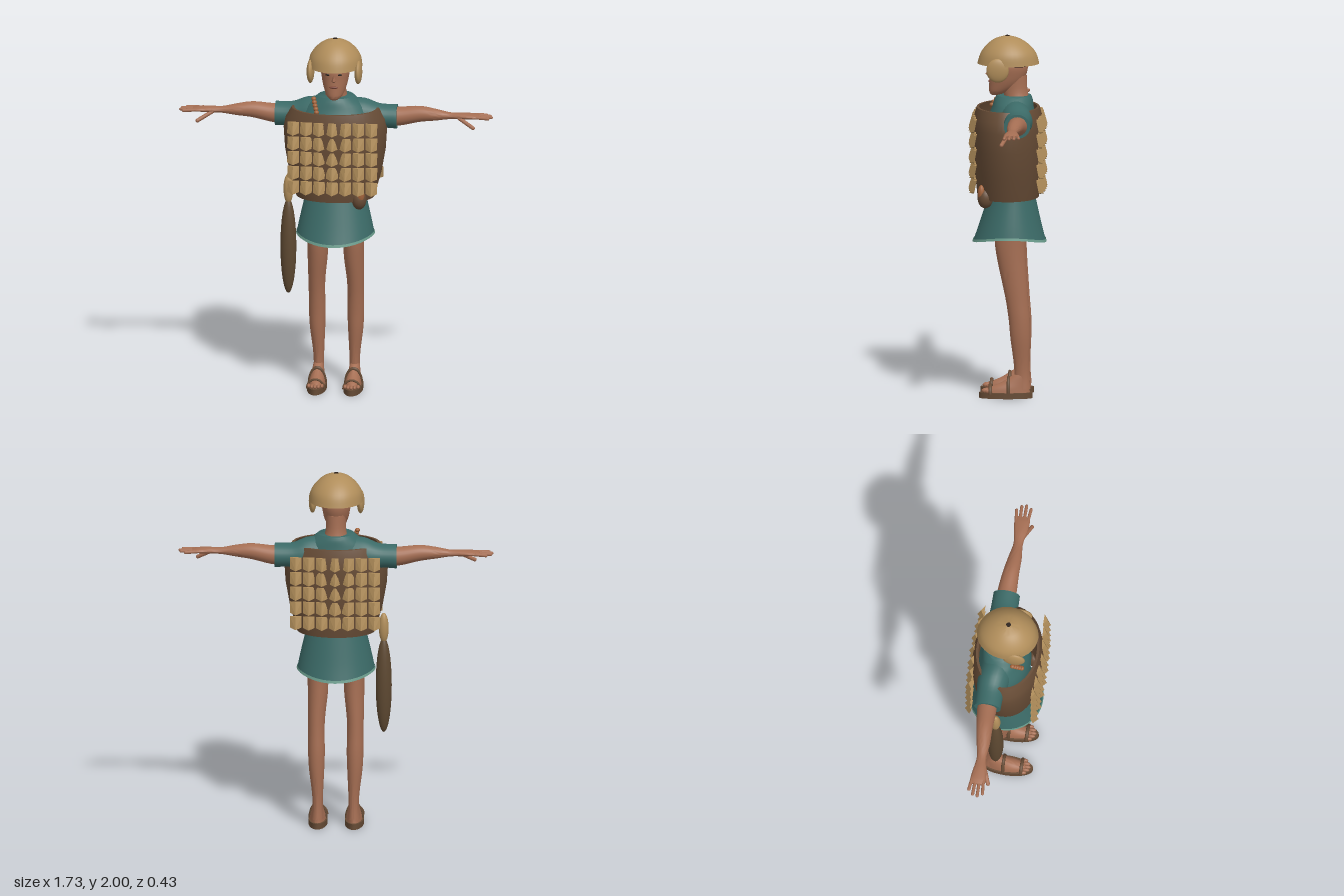
import * as THREE from 'three';
import { toCreasedNormals } from 'three/addons/utils/BufferGeometryUtils.js';
import { ConvexGeometry } from 'three/addons/geometries/ConvexGeometry.js';

const mat = (name, color) => {
  const m = new THREE.MeshStandardMaterial({ color, side: THREE.DoubleSide });
  m.name = name;
  return m;
};

export function createModel() {
  const skin = mat('skin', 0xa56e53), cloth = mat('teal cloth', 0x3b6a67), trim = mat('pale teal trim', 0x6a9c8c);
  const gold = mat('dull gold', 0xb08d5a), leather = mat('brown leather', 0x664b35), sheath = mat('dark leather', 0x5d4831);
  const hair = mat('dark hair', 0x2b2019), copper = mat('copper', 0xa0623a), lip = mat('lips', 0x7d4638);
  const root = new THREE.Group();
  root.name = 'soldier';

  const add = (name, geo, material, x = 0, y = 0, z = 0) => {
    const m = new THREE.Mesh(geo, material);
    m.name = name;
    m.position.set(x, y, z);
    root.add(m);
    return m;
  };
  const ball = (name, material, p, r) => add(name, new THREE.SphereGeometry(1, 24, 16), material, ...p).scale.set(...r);

  // Ellipse sections [y, cx, cz, rx, rz] joined upwards; k spline steps between sections
  function loft(sections, { k = 4, n = 28, caps = true, warp } = {}) {
    const rings = [];
    const last = sections.length - 1;
    for (let i = 0; i < last; i++) {
      const [a, b, c, d] = [-1, 0, 1, 2].map(o => sections[Math.min(last, Math.max(0, i + o))]);
      for (let s = 0; s < k; s++) {
        const t = s / k;
        rings.push(b.map((v, q) => v + 0.5 * t * (c[q] - a[q] + t * (2 * a[q] - 5 * v + 4 * c[q] - d[q]
          + t * (3 * (v - c[q]) + d[q] - a[q])))));
      }
    }
    rings.push(sections[last]);
    const pos = [], idx = [];
    for (const [y, cx, cz, rx, rz] of rings) for (let j = 0; j < n; j++) {
      const a = j / n * Math.PI * 2;
      pos.push(cx + rx * Math.sin(a), y + (warp ? warp(y, a) : 0), cz + rz * Math.cos(a));
    }
    const top = rings.length - 1;
    for (let i = 0; i < top; i++) for (let j = 0; j < n; j++) {
      const p = i * n + j, q = i * n + (j + 1) % n;
      idx.push(p, q, q + n, p, q + n, p + n);
    }
    if (caps) for (const i of [0, top]) {
      const c = pos.length / 3, [y, cx, cz] = rings[i];
      pos.push(cx, y, cz);
      for (let j = 0; j < n; j++) {
        const p = i * n + j, q = i * n + (j + 1) % n;
        idx.push(c, ...(i ? [p, q] : [q, p]));
      }
    }
    const g = new THREE.BufferGeometry();
    g.setAttribute('position', new THREE.Float32BufferAttribute(pos, 3));
    g.setIndex(idx);
    return toCreasedNormals(g, 0.8);
  }
  // Sections [x, cy, cz, ry, rz] running outwards along the arm on side s
  const sideLoft = (sections, s) =>
    loft(sections.map(([x, y, z, ry, rz]) => [x, -s * y, z, ry, rz])).rotateZ(-s * Math.PI / 2);
  // Rounded rod between two points
  function rod(name, material, a, b, r) {
    const p = new THREE.Vector3(...a), q = new THREE.Vector3(...b), d = q.clone().sub(p);
    const m = add(name, new THREE.CapsuleGeometry(r, d.length(), 5, 10), material);
    m.position.copy(p).add(q).multiplyScalar(0.5);
    m.quaternion.setFromUnitVectors(new THREE.Vector3(0, 1, 0), d.normalize());
  }
  const hull = pts => new ConvexGeometry(pts.map(p => new THREE.Vector3(...p)));

  // Head and neck
  add('neck', loft([[1.62, 0, -0.06, 0.075, 0.07], [1.69, 0, -0.045, 0.056, 0.066], [1.78, 0, -0.04, 0.056, 0.066]]), skin);
  add('head', loft([[1.67, 0, 0.068, 0.02, 0.022], [1.688, 0, 0.048, 0.043, 0.052], [1.73, 0, 0.015, 0.062, 0.085],
    [1.78, 0, -0.002, 0.074, 0.1], [1.84, 0, -0.008, 0.079, 0.104], [1.92, 0, -0.01, 0.055, 0.075]]), skin);
  ball('hair', hair, [0, 1.868, -0.027], [0.086, 0.077, 0.097]);
  add('nose', hull([[0, 1.828, 0.094], [-0.016, 1.778, 0.09], [0.016, 1.778, 0.09], [0, 1.784, 0.122], [0, 1.77, 0.098]]), skin);
  ball('mouth', lip, [0, 1.745, 0.098], [0.024, 0.007, 0.007]);
  for (const s of [-1, 1]) {
    ball('eye', hair, [s * 0.031, 1.815, 0.088], [0.015, 0.006, 0.006]);
    ball('eyebrow', hair, [s * 0.033, 1.832, 0.09], [0.02, 0.005, 0.006]);
    ball('cheekGuard', gold, [s * 0.132, 1.823, 0.05], [0.021, 0.066, 0.062]);
  }

  // Helmet bowl with a dark hole at the crown
  add('helmet', loft([[1.845, 0, -0.005, 0.148, 0.17], [1.9, 0, -0.005, 0.139, 0.153], [1.945, 0, -0.003, 0.109, 0.119],
    [1.98, 0, 0, 0.066, 0.07], [1.998, 0, 0, 0.013, 0.013]], { n: 36, caps: false }), gold);
  add('crownHole', new THREE.CylinderGeometry(0.013, 0.013, 0.006, 12), hair, 0, 1.997, 0);

  // Tunic body, skirt and hem
  add('tunicBody', loft([[1.1, 0, -0.025, 0.165, 0.125], [1.3, 0, -0.02, 0.19, 0.14], [1.5, 0, -0.02, 0.205, 0.14],
    [1.6, 0, -0.03, 0.17, 0.115], [1.645, 0, -0.034, 0.125, 0.105], [1.668, 0, -0.036, 0.098, 0.095]]), cloth);
  const hemRise = (y, a) => 0.035 * Math.sin(a) ** 2 * Math.max(0, (1.1 - y) / 0.24);
  add('tunicSkirt', loft([[0.858, 0, -0.012, 0.213, 0.2], [0.95, 0, -0.016, 0.197, 0.172], [1.12, 0, -0.025, 0.164, 0.125]],
    { n: 40, caps: false, warp: hemRise }), cloth);
  add('hemTrim', loft([[0.856, 0, -0.012, 0.217, 0.204], [0.871, 0, -0.012, 0.214, 0.2]],
    { n: 40, k: 1, caps: false, warp: hemRise }), trim);

  // Leather cuirass shell: inner foot, outer wall, then the inner wall back down
  const wall = [[1.105, 0.215, 0.168], [1.25, 0.255, 0.184], [1.38, 0.278, 0.191], [1.49, 0.285, 0.193],
    [1.55, 0.275, 0.188], [1.605, 0.24, 0.173]];
  const ring = ([y, rx, rz], t) => [y, 0, -0.004, rx - t, rz - t];
  add('cuirass', loft([ring(wall[0], 0.014), ...wall.map(w => ring(w, 0)), ...[...wall].reverse().map(w => ring(w, 0.014))],
    { k: 1, n: 44, caps: false }), leather);

  // Pointed scales in rows on the chest and back
  const scaleGeo = hull([[-0.032, 0.036, -0.012], [0.032, 0.036, -0.012], [0, 0.036, 0.008], [-0.032, -0.026, 0],
    [0.032, -0.026, 0], [0, -0.038, 0.004], [0, -0.034, 0.028]]);
  for (const s of [-1, 1]) for (let r = 0; r < 5; r++) for (let c = -3; c <= 3; c++) {
    const m = add(s > 0 ? 'chestScale' : 'backScale', scaleGeo, gold, c * 0.072, 1.527 - r * 0.084,
      s * (0.188 - 0.0013 * c * c) - 0.003);
    m.rotation.y = s > 0 ? 0 : Math.PI;
  }

  for (const s of [-1, 1]) {
    // Sleeve, arm and hand
    add('sleeve', sideLoft([[0.06, 1.53, -0.04, 0.125, 0.1], [0.16, 1.54, -0.055, 0.105, 0.09],
      [0.24, 1.547, -0.062, 0.068, 0.076], [0.335, 1.545, -0.064, 0.067, 0.073]], s), cloth);
    add('arm', sideLoft([[0.26, 1.545, -0.065, 0.055, 0.055], [0.35, 1.547, -0.065, 0.052, 0.053],
      [0.46, 1.564, -0.06, 0.044, 0.045], [0.55, 1.564, -0.052, 0.032, 0.037], [0.63, 1.562, -0.048, 0.018, 0.026],
      [0.7, 1.563, -0.046, 0.017, 0.036], [0.76, 1.563, -0.047, 0.013, 0.043], [0.79, 1.561, -0.047, 0.009, 0.038]], s), skin);
    for (const [z0, z1, x] of [[-0.08, -0.088, 0.825], [-0.06, -0.063, 0.85], [-0.038, -0.037, 0.856], [-0.017, -0.01, 0.84]])
      rod('finger', skin, [s * 0.76, 1.563, z0], [s * x, 1.56, z1], 0.009);
    rod('thumb', skin, [s * 0.68, 1.555, -0.025], [s * 0.76, 1.51, 0.008], 0.011);

    // Leg and foot
    add('leg', loft([[0.05, 0.1, -0.085, 0.032, 0.045], [0.12, 0.099, -0.083, 0.028, 0.041], [0.2, 0.1, -0.08, 0.031, 0.043],
      [0.33, 0.105, -0.074, 0.042, 0.054], [0.43, 0.106, -0.069, 0.046, 0.058], [0.53, 0.107, -0.058, 0.045, 0.061],
      [0.62, 0.106, -0.046, 0.047, 0.067], [0.75, 0.1, -0.028, 0.055, 0.077], [0.86, 0.098, -0.018, 0.059, 0.084],
      [1, 0.085, -0.02, 0.075, 0.09]].map(([y, x, ...r]) => [y, s * x, ...r])), skin);
    add('foot', loft([[0.028, s * 0.1, 0, 0.045, 0.128], [0.055, s * 0.1, -0.012, 0.041, 0.112],
      [0.085, s * 0.1, -0.045, 0.034, 0.078], [0.13, s * 0.1, -0.08, 0.026, 0.042]]), skin);
    for (let t = -2; t <= 2; t++)
      ball('toe', skin, [s * 0.1 + t * 0.018, 0.04, 0.118 - 0.005 * t * t], [0.01, 0.012, 0.022]);

    // Sandal with two arched straps
    add('sole', loft([[0, s * 0.1, 0.005, 0.053, 0.147], [0.032, s * 0.1, 0.005, 0.053, 0.147]], { k: 1 }), leather);
    for (const [z, h] of [[-0.01, 0.088], [0.09, 0.05]])
      add('sandalStrap', new THREE.TorusGeometry(0.047, 0.006, 8, 20, Math.PI), leather, s * 0.1, 0.024, z)
        .scale.set(1, h / 0.047, 1.6);
  }

  // Scabbard and grip at the right hip
  ball('scabbard', sheath, [-0.262, 0.8, -0.03], [0.044, 0.27, 0.044]);
  ball('swordGrip', gold, [-0.262, 1.125, -0.03], [0.027, 0.085, 0.027]);

  // Belt pouch at the left front
  ball('pouch', leather, [0.143, 1.115, 0.117], [0.04, 0.055, 0.042]);
  ball('pouchFlap', copper, [0.152, 1.145, 0.138], [0.022, 0.045, 0.02]);

  // Beaded cord on the right shoulder
  for (let i = 0; i < 5; i++)
    ball('cordBead', copper, [-0.115 + 0.005 * i, 1.662 - 0.016 * i, 0.04 + 0.012 * i], [0.014, 0.012, 0.014]);

  return root;
}
